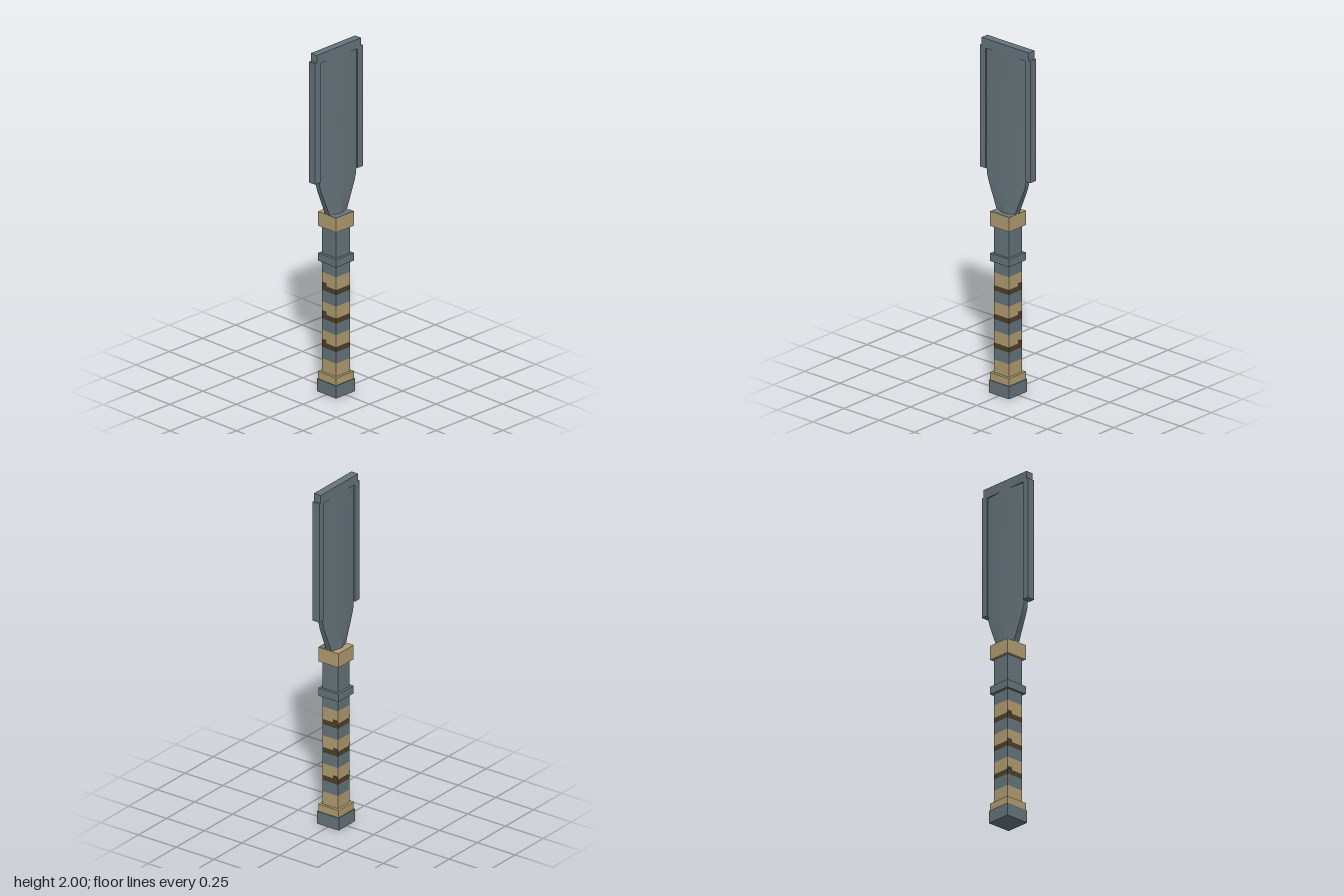
import * as THREE from 'three';
import { toCreasedNormals } from 'three/addons/utils/BufferGeometryUtils.js';

function material(name, color) {
  const m = new THREE.MeshStandardMaterial({ color });
  m.name = name;
  return m;
}

export function createModel() {
  const steel = material('steel', 0x66747b);
  const tan = material('tan', 0xb09c71);
  const brown = material('brown', 0x4e3f29);
  const model = new THREE.Group();
  model.name = 'paddleBlade';

  // Box between two heights, with half width, half depth and an optional centre
  function block(name, mat, y0, y1, halfX, halfZ = halfX, x = 0, z = 0) {
    const mesh = new THREE.Mesh(new THREE.BoxGeometry(halfX * 2, y1 - y0, halfZ * 2), mat);
    mesh.name = name;
    mesh.position.set(x, (y0 + y1) / 2, z);
    model.add(mesh);
  }

  // Pommel
  block('pommel', steel, 0, 0.072, 0.072);
  block('pommelBand', tan, 0.072, 0.115, 0.067);

  // Grip: tan, steel and brown bands
  const grip = 0.052;
  block('gripBottom', tan, 0.115, 0.19, grip);
  for (const y of [0.19, 0.355, 0.52]) {
    block('gripSteel', steel, y, y + 0.066, grip);
    block('gripStripe', brown, y + 0.066, y + 0.096, grip);
    block('gripWrap', tan, y + 0.096, y + (y > 0.5 ? 0.17 : 0.165), grip);
    // Raised step of the stripe on both sides
    for (const s of [-1, 1]) {
      block('stripeStep', brown, y + 0.096, y + 0.112, 0.001, 0.016, s * grip, -0.036);
    }
  }

  // Neck, ring and collar
  block('neck', steel, 0.69, 0.96, grip);
  block('neckRing', steel, 0.755, 0.8, 0.067);
  block('collar', tan, 0.957, 1.04, 0.067);
  block('collarPlate', steel, 1.038, 1.041, 0.067, 0.0165, 0, 0.0505);

  // Blade: six-sided sections [height, half width, edge half depth, ridge half depth]
  const sections = [
    [1.03, 0.062, 0.018, 0.037],
    [1.09, 0.085, 0.017, 0.035],
    [1.14, 0.106, 0.016, 0.033],
    [1.19, 0.126, 0.015, 0.031],
    [1.22, 0.135, 0.014, 0.030],
    [1.26, 0.141, 0.013, 0.0295],
    [1.6, 0.141, 0.013, 0.0275],
    [1.95, 0.141, 0.013, 0.0255],
  ];
  const points = [];
  const faces = [];
  sections.forEach(([y, w, e, d], row) => {
    points.push(w, y, e, 0, y, d, -w, y, e, -w, y, -e, 0, y, -d, w, y, -e);
    if (row === sections.length - 1) return;
    for (let i = 0; i < 6; i++) {
      const a = row * 6 + i;
      const b = row * 6 + ((i + 1) % 6);
      faces.push(a, a + 6, b, b, a + 6, b + 6);
    }
  });
  const bladeGeometry = new THREE.BufferGeometry();
  bladeGeometry.setAttribute('position', new THREE.Float32BufferAttribute(points, 3));
  bladeGeometry.setIndex(faces);
  const blade = new THREE.Mesh(toCreasedNormals(bladeGeometry, 0.45), steel);
  blade.name = 'blade';
  model.add(blade);

  // Rails along both edges and the bar across the top
  for (const s of [-1, 1]) block('edgeRail', steel, 1.255, 1.955, 0.0195, 0.0225, s * 0.1595);
  block('topBar', steel, 1.945, 2, 0.167, 0.0225);

  return model;
}
